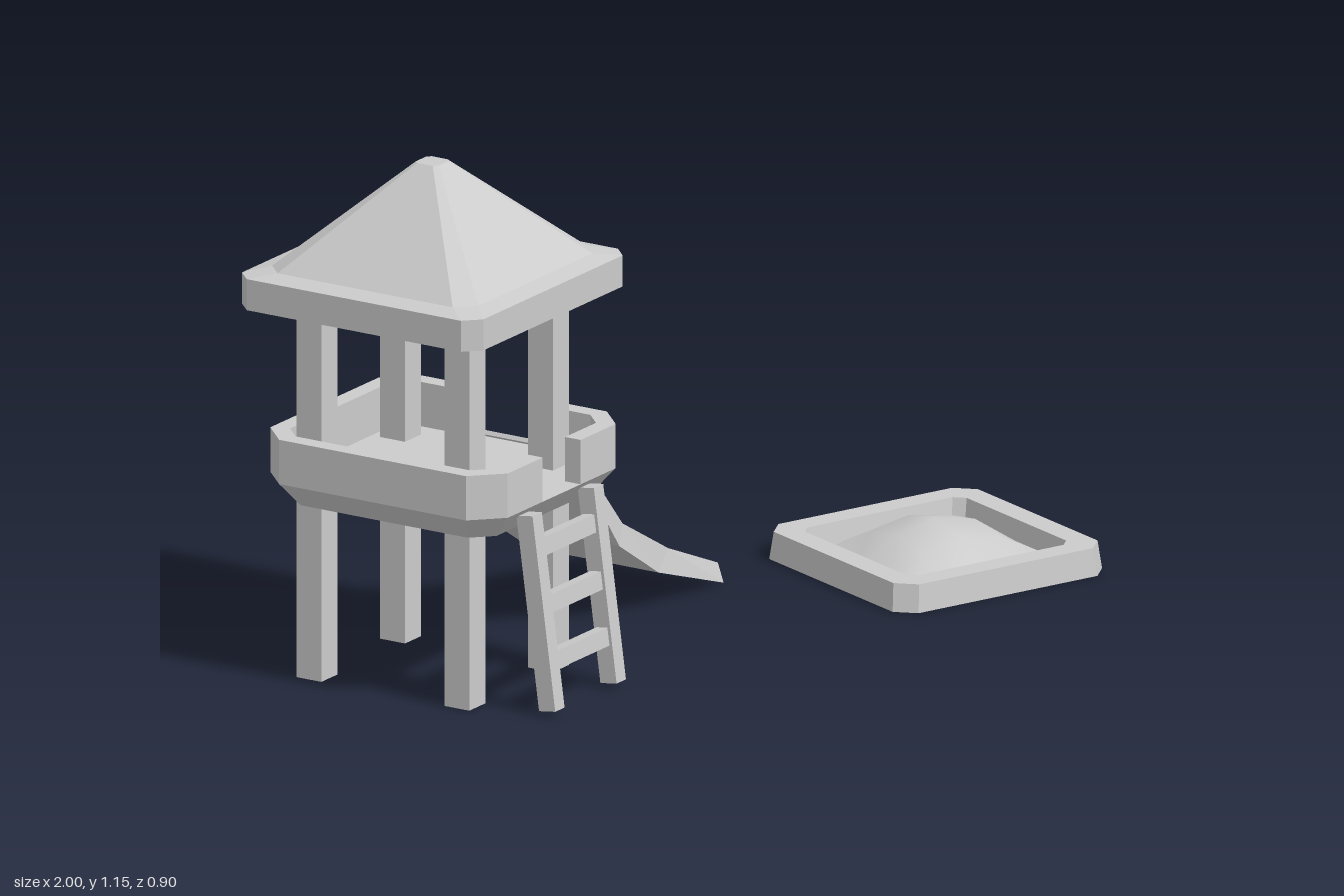
import * as THREE from 'three';

const V = (x, y, z) => new THREE.Vector3(x, y, z);

function material() {
  return new THREE.MeshStandardMaterial({ color: 0xcccccc, flatShading: true, side: THREE.DoubleSide });
}

function addMesh(parent, name, geometry) {
  const mesh = new THREE.Mesh(geometry, material());
  mesh.name = name;
  parent.add(mesh);
  return mesh;
}

// Skins a list of rings; the 2D contour (counter-clockwise) triangulates the end caps.
function loft(rings, contour) {
  const out = [];
  const tri = (a, b, c) => { for (const p of [a, b, c]) out.push(p.x, p.y, p.z); };
  for (let i = 0; i + 1 < rings.length; i++) {
    const r = rings[i], s = rings[i + 1], n = r.length;
    for (let j = 0; j < n; j++) {
      const k = (j + 1) % n;
      tri(r[j], r[k], s[k]);
      tri(r[j], s[k], s[j]);
    }
  }
  if (contour) {
    const first = rings[0], last = rings[rings.length - 1];
    for (const [a, b, c] of THREE.ShapeUtils.triangulateShape(contour, [])) {
      tri(first[a], first[c], first[b]);
      tri(last[a], last[b], last[c]);
    }
  }
  const geometry = new THREE.BufferGeometry();
  geometry.setAttribute('position', new THREE.Float32BufferAttribute(out, 3));
  geometry.computeVertexNormals();
  return geometry;
}

// Rectangle with cut corners, as [x, z] points
function cutRect(hx, hz, c) {
  return [[hx, c - hz], [hx, hz - c], [hx - c, hz], [c - hx, hz],
    [-hx, hz - c], [-hx, c - hz], [c - hx, -hz], [hx - c, -hz]].reverse();
}

// Stack of cut-corner rectangles, each level [hx, hz, cut, y]
function stack(levels, capped = true) {
  const rings = levels.map(([hx, hz, c, y]) => cutRect(hx, hz, c).map(([x, z]) => V(x, y, z)));
  return loft(rings, capped ? rings[0].map((p) => new THREE.Vector2(p.z, p.x)) : null);
}

// Upright prism over a polygon of [x, z] points
function prism(points, y0, y1) {
  let contour = points.map(([x, z]) => new THREE.Vector2(z, x));
  if (THREE.ShapeUtils.isClockWise(contour)) contour = contour.reverse();
  return loft([y0, y1].map((y) => contour.map((p) => V(p.y, y, p.x))), contour);
}

function buildPlatform() {
  const platform = new THREE.Group();
  platform.name = 'platform';
  const hx = 0.278, hz = 0.305, c = 0.065;
  addMesh(platform, 'deck', stack([
    [hx - 0.045, hz - 0.045, c - 0.02, 0.4], [hx, hz, c, 0.455],
  ]));

  // Railing in two runs, leaving gaps for the ladder and the slide
  const gapFront = 0.075, gapSide = 0.09;
  const longRun = (x, z, k) => [[-gapFront, z], [k - x, z], [-x, z - k], [-x, k - z],
    [k - x, -z], [x - k, -z], [x, k - z], [x, -gapSide]];
  const shortRun = (x, z, k) => [[x, gapSide], [x, z - k], [x - k, z], [gapFront, z]];
  const t = 0.04;
  for (const [name, run] of [['longRailing', longRun], ['shortRailing', shortRun]]) {
    const inner = run(hx - t, hz - t, c - t * 0.586).reverse();
    addMesh(platform, name, prism([...run(hx, hz, c), ...inner], 0.455, 0.555));
  }
  return platform;
}

function buildSlide() {
  // Matching points along the underside and the top of the side walls, as [x, y]
  const base = [[0.25, 0.46], [0.33, 0.36], [0.455, 0.19], [0.61, 0.09], [0.866, 0]];
  const top = [[0.28, 0.5], [0.37, 0.37], [0.49, 0.23], [0.67, 0.127], [0.866, 0.043]];
  // Trough section: [height fraction, z]
  const section = [[0, -0.165], [1, -0.15], [1, -0.11], [0.2, -0.085],
    [0.2, 0.085], [1, 0.11], [1, 0.15], [0, 0.165]];
  const rings = base.map(([bx, by], i) => section.map(([f, z]) =>
    V(bx + (top[i][0] - bx) * f, by + (top[i][1] - by) * f, z)));
  return loft(rings, section.map(([f, z]) => new THREE.Vector2(f, z)));
}

function buildLadder() {
  const ladder = new THREE.Group();
  ladder.name = 'ladder';
  const height = 0.435, lean = Math.atan2(0.059, height);
  for (const side of [-1, 1]) {
    const rail = addMesh(ladder, side > 0 ? 'leftLadderRail' : 'rightLadderRail',
      new THREE.BoxGeometry(0.037, height, 0.042));
    rail.position.x = side * 0.121;
  }
  for (const y of [0.115, 0.24, 0.367]) {
    const rung = addMesh(ladder, 'rung', new THREE.BoxGeometry(0.22, 0.04, 0.028));
    rung.position.y = y - 0.228;
  }
  ladder.position.set(-0.012, 0.228, 0.337);
  ladder.rotation.x = -lean;
  return ladder;
}

function buildTower() {
  const tower = new THREE.Group();
  tower.name = 'tower';

  // Posts from the ground to the roof
  for (const sx of [-1, 1]) {
    for (const sz of [-1, 1]) {
      const post = addMesh(tower, 'post', new THREE.BoxGeometry(0.064, 0.86, 0.064));
      post.position.set(sx * 0.165, 0.43, sz * 0.19);
    }
  }

  // Hipped roof with a thick eave
  const roof = addMesh(tower, 'roof', stack([
    [0.31, 0.31, 0.035, 0.85], [0.31, 0.31, 0.035, 0.92],
    [0.265, 0.265, 0.04, 0.93], [0.029, 0.029, 0.009, 1.152],
  ]));
  roof.position.set(-0.005, 0, 0.002);

  const platform = buildPlatform();
  addMesh(platform, 'slide', buildSlide()).position.z = -0.008;
  platform.add(buildLadder());
  platform.position.set(0.008, 0, 0.021);
  tower.add(platform);

  tower.position.set(-0.605, 0, 0.018);
  tower.rotation.y = THREE.MathUtils.degToRad(22);
  return tower;
}

function buildSandbox() {
  const sandbox = new THREE.Group();
  sandbox.name = 'sandbox';
  addMesh(sandbox, 'sandboxFrame', stack([
    [0.275, 0.272, 0.04, 0], [0.268, 0.265, 0.04, 0.062],
    [0.212, 0.209, 0.022, 0.062], [0.2, 0.197, 0.02, 0], [0.275, 0.272, 0.04, 0],
  ], false));

  // Sand heaped towards the middle
  const half = 0.207;
  const sand = new THREE.PlaneGeometry(half * 2, half * 2, 4, 4).rotateX(-Math.PI / 2);
  const p = sand.attributes.position;
  for (let i = 0; i < p.count; i++) {
    const u = p.getX(i) / half, v = p.getZ(i) / half;
    p.setY(i, 0.015 + 0.09 * (1 - u * u) * (1 - v * v));
  }
  sand.computeVertexNormals();
  addMesh(sandbox, 'sand', sand).material.flatShading = false;
  sandbox.position.set(0.725, 0, 0.004);
  return sandbox;
}

export function createModel() {
  const model = new THREE.Group();
  model.name = 'playground';
  model.add(buildTower(), buildSandbox());
  return model;
}
